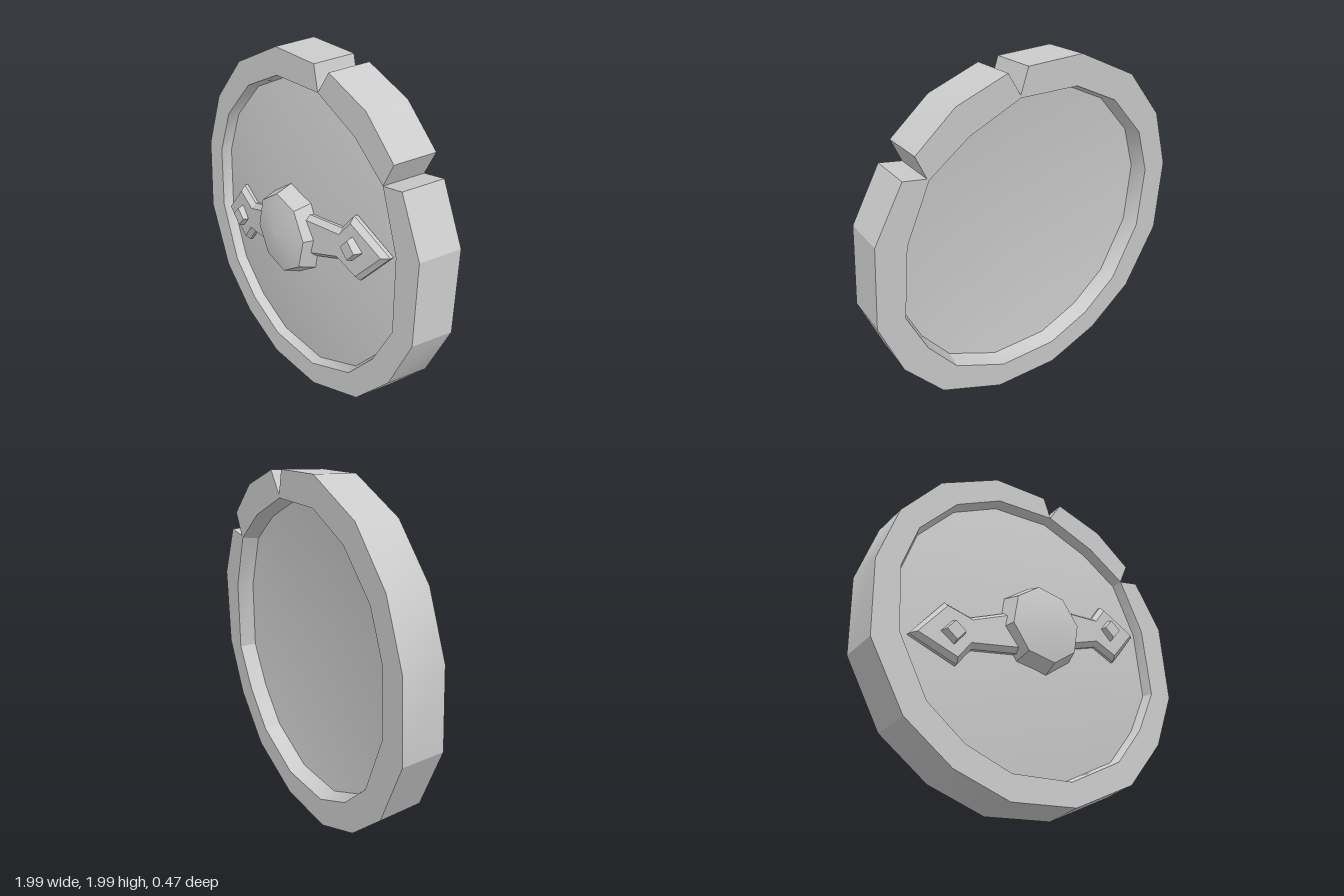
import * as THREE from 'three';
import { toCreasedNormals } from 'three/addons/utils/BufferGeometryUtils.js';

const smooth = new THREE.MeshStandardMaterial({ color: 0xcccccc });
const flat = new THREE.MeshStandardMaterial({ color: 0xcccccc, flatShading: true });

// Rim stations, counter-clockwise: outer x, y, inner x, y.
// Where both points coincide the rim is cut by a notch.
const stations = [
  [-0.255, 0.985, -0.24, 0.835], [-0.625, 0.805, -0.525, 0.695], [-0.865, 0.525, -0.75, 0.45],
  [-0.985, 0.18, -0.845, 0.18], [-0.98, -0.265, -0.83, -0.20], [-0.79, -0.635, -0.67, -0.535],
  [-0.52, -0.85, -0.455, -0.715], [-0.196, -0.97, -0.185, -0.825], [0.21, -0.95, 0.19, -0.815],
  [0.60, -0.775, 0.52, -0.655], [0.836, -0.50, 0.70, -0.435], [0.97, -0.175, 0.825, -0.18],
  [0.95, 0.29, 0.795, 0.24], [0.79, 0.585, 0.66, 0.56], [0.66, 0.56, 0.66, 0.56],
  [0.72, 0.69, 0.66, 0.56], [0.50, 0.875, 0.43, 0.725], [0.206, 0.975, 0.127, 0.85],
  [0.127, 0.85, 0.127, 0.85], [0.085, 0.985, 0.127, 0.85],
];

// Rings from the front centre, round the rim, to the back centre: edge (0 outer, 2 inner), scale, z
const rings = [
  [2, 0, 0.045], [2, 0.98, -0.06], [2, 1, 0], [0, 1, 0],
  [0, 1.018, -0.25], [2, 1, -0.25], [2, 0.975, -0.155], [2, 0, -0.07],
];

function shieldBody() {
  const at = (k, i) => {
    const [edge, scale, z] = rings[k];
    const s = stations[i % stations.length];
    return new THREE.Vector3(s[edge] * scale, s[edge + 1] * scale, z);
  };
  const points = [];
  const tri = (a, b, c) => {
    if (new THREE.Triangle(a, b, c).getArea() > 1e-6) points.push(a, b, c);
  };
  for (let k = 0; k < rings.length - 1; k++) {
    for (let i = 0; i < stations.length; i++) {
      const a = at(k, i), b = at(k + 1, i), c = at(k + 1, i + 1), d = at(k, i + 1);
      tri(a, b, c);
      tri(a, c, d);
    }
  }
  return toCreasedNormals(new THREE.BufferGeometry().setFromPoints(points), 0.42);
}

// Faceted turned piece facing +z; profile is [radius, z]
function turned(profile, sides, angle) {
  const pts = profile.map(([r, z]) => new THREE.Vector2(r, z));
  return new THREE.LatheGeometry(pts, sides).rotateX(Math.PI / 2).rotateZ(angle);
}

// Bevelled arm ending in a diamond, sloping down with the dish
function armGeometry() {
  const outline = [
    [0.05, -0.09], [0.225, -0.05], [0.415, 0.02], [0.565, -0.035], [0.75, 0.185],
    [0.49, 0.31], [0.41, 0.205], [0.18, 0.18], [0.05, 0.165],
  ];
  const geo = new THREE.ExtrudeGeometry(new THREE.Shape(outline.map(p => new THREE.Vector2(...p))), {
    depth: 0.02, bevelEnabled: true, bevelThickness: 0.03, bevelSize: 0.025, bevelOffset: -0.025, bevelSegments: 1,
  });
  const p = geo.attributes.position;
  for (let i = 0; i < p.count; i++) p.setZ(i, p.getZ(i) + 0.03 - 0.105 * p.getX(i));
  geo.computeVertexNormals();
  return geo;
}

export function createModel() {
  const model = new THREE.Group();
  model.name = 'roundShield';
  const add = (parent, name, geo, mat) => {
    const mesh = new THREE.Mesh(geo, mat);
    mesh.name = name;
    parent.add(mesh);
    return mesh;
  };

  // The whole shield leans slightly
  const shield = new THREE.Group();
  shield.name = 'shield';
  shield.position.set(0, 1, 0.075);
  shield.rotation.set(-0.045, -0.04, 0);
  model.add(shield);

  add(shield, 'rimAndDish', shieldBody(), smooth);

  // Central boss, slightly taller than wide, with a smooth shallow cone on top
  const boss = turned([[0.268, 0], [0.228, 0.11], [0, 0.155]], 8, 0.2).scale(0.96, 1, 1);
  add(shield, 'boss', toCreasedNormals(boss, 0.42), smooth).position.set(-0.015, 0.015, 0);

  // Two arms, each with a square stud
  for (const [side, turn] of [['left', 0], ['right', Math.PI]]) {
    const arm = new THREE.Group();
    arm.name = side + 'ArmGroup';
    arm.position.set(-0.02, 0.005, 0);
    arm.rotation.z = turn;
    shield.add(arm);
    add(arm, side + 'Arm', armGeometry(), flat);
    const stud = turned([[0.076, 0], [0.055, 0.062], [0, 0.062]], 4, 0.08);
    add(arm, side + 'Stud', stud, flat).position.set(0.525, 0.145, 0);
  }
  return model;
}
